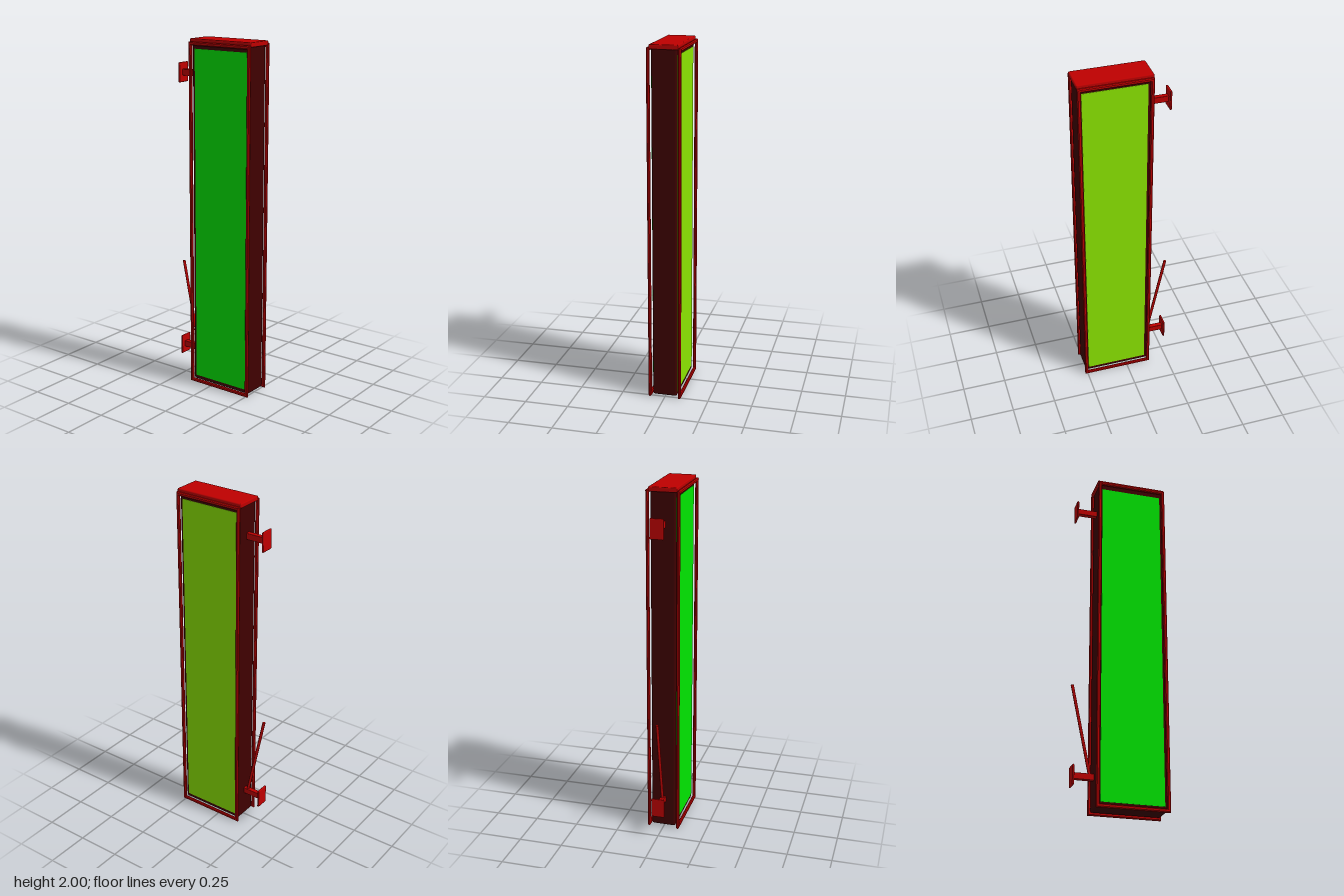
import * as THREE from 'three';
import { RoundedBoxGeometry } from 'three/addons/geometries/RoundedBoxGeometry.js';

const material = (name, color) => {
  const m = new THREE.MeshStandardMaterial({ color });
  m.name = name;
  return m;
};

const rect = (Type, w, h) => {
  const p = new Type();
  p.moveTo(-w / 2, -h / 2);
  p.lineTo(w / 2, -h / 2);
  p.lineTo(w / 2, h / 2);
  p.lineTo(-w / 2, h / 2);
  p.closePath();
  return p;
};

// Rectangular loop of chamfered bar, lying in the y-z plane
function frameGeometry(depth, height, bar, thick, bevel) {
  const shape = rect(THREE.Shape, depth - 2 * bevel, height - 2 * bevel);
  const inner = 2 * (bar - bevel);
  shape.holes.push(rect(THREE.Path, depth - inner, height - inner));
  const g = new THREE.ExtrudeGeometry(shape, {
    depth: thick - 2 * bevel, bevelThickness: bevel, bevelSize: bevel, bevelSegments: 1,
  });
  g.translate(0, 0, bevel - thick / 2);
  g.rotateY(Math.PI / 2);
  return g;
}

export function createModel() {
  const group = new THREE.Group();
  const red = material('red metal', 0xbf0000);
  const dark = material('dark maroon', 0x400000);
  const lime = material('lime', 0x8ce600);
  const green = material('green', 0x00ea00);
  const midZ = 0.061;

  const add = (name, geometry, mat, x, y, z, parent = group) => {
    const mesh = new THREE.Mesh(geometry, mat);
    mesh.name = name;
    mesh.position.set(x, y, z);
    parent.add(mesh);
    return mesh;
  };

  // Tall sign box and its lid
  add('signBody', new RoundedBoxGeometry(0.14, 1.971, 0.39, 2, 0.012), dark, 0, 0.9955, midZ);
  add('topCap', new RoundedBoxGeometry(0.158, 0.026, 0.411, 1, 0.006), red, 0, 1.987, midZ);

  // Coloured side panels and the loops standing in front of them
  const frame = frameGeometry(0.408, 1.984, 0.02, 0.017, 0.005);
  for (const [side, s, mat] of [['left', 1, lime], ['right', -1, green]]) {
    add(side + 'Panel', new THREE.BoxGeometry(0.004, 1.91, 0.354), mat, s * 0.07, 0.99, midZ + 0.001);
    add(side + 'Frame', frame, red, s * 0.0855, 0.992, midZ);
  }

  // Wall brackets: arm and mounting plate
  for (const [name, y] of [['upperBracket', 1.803], ['lowerBracket', 0.182]]) {
    const bracket = new THREE.Group();
    bracket.name = name;
    bracket.position.y = y;
    group.add(bracket);
    add('bracketArm', new RoundedBoxGeometry(0.028, 0.036, 0.13, 1, 0.003), red, 0, 0, -0.188, bracket);
    add('bracketPlate', new RoundedBoxGeometry(0.077, 0.112, 0.012, 1, 0.005), red, 0, 0, -0.2525, bracket);
  }

  // Slanted stay rod behind the box
  const low = new THREE.Vector3(0, 0.2, -0.157);
  const high = new THREE.Vector3(0, 0.698, -0.259);
  const dir = high.clone().sub(low);
  const rodGeometry = new THREE.CylinderGeometry(0.0085, 0.0085, dir.length(), 8, 1, false, Math.PI / 8);
  const rod = add('stayRod', rodGeometry, red, 0, 0, 0);
  rod.position.copy(low).add(high).multiplyScalar(0.5);
  rod.quaternion.setFromUnitVectors(new THREE.Vector3(0, 1, 0), dir.normalize());

  return group;
}
